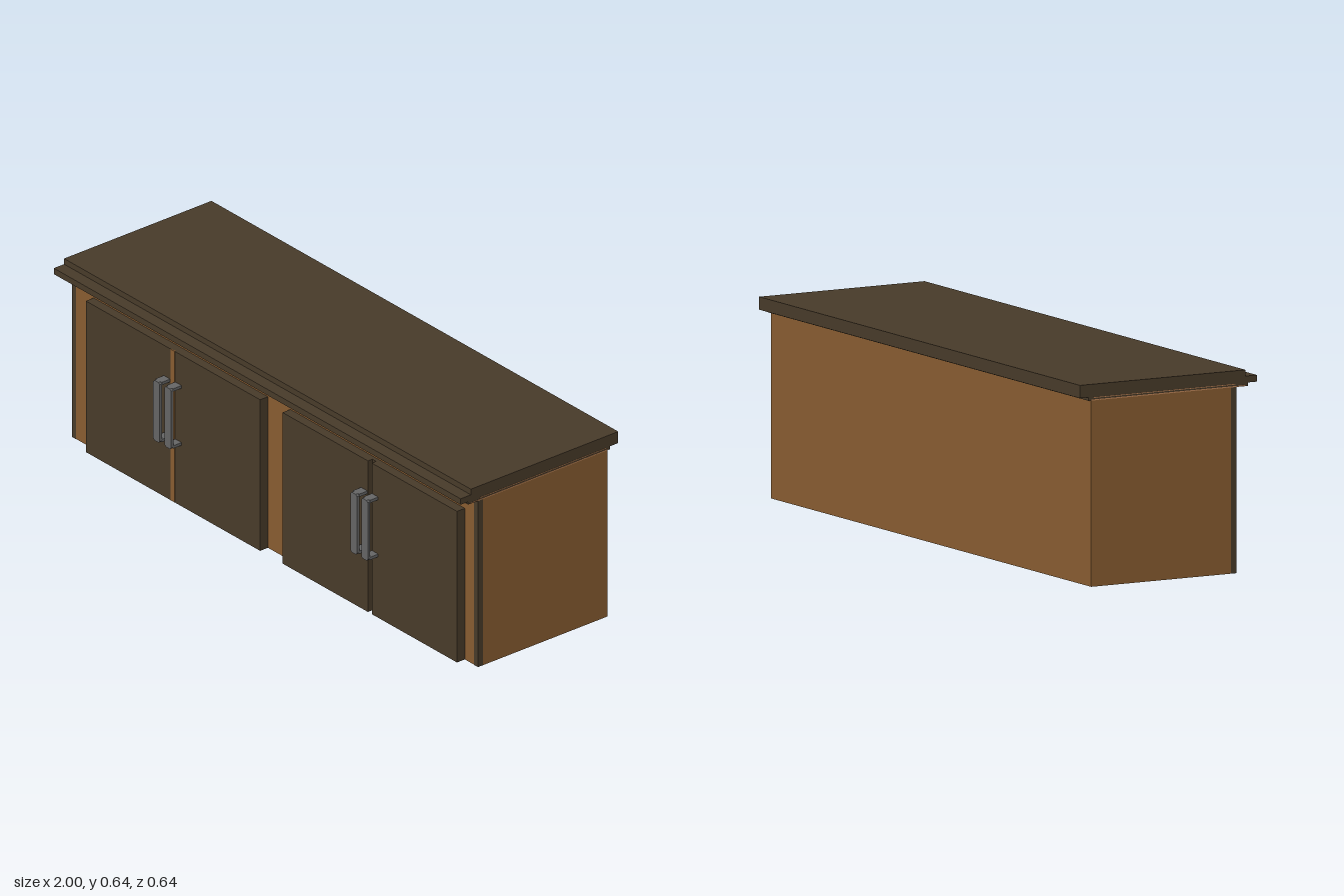
import * as THREE from 'three';

const mat = (name, color) => {
  const m = new THREE.MeshStandardMaterial({ color });
  m.name = name;
  return m;
};

export function createModel() {
  const model = new THREE.Group();
  model.name = 'sideboard';
  const wood = mat('warm brown wood', 0x865b30);
  const dark = mat('dark brown wood', 0x473a29);
  const light = mat('light orange wood', 0xbc8457);
  const metal = mat('grey metal', 0x646464);

  // Box given by its min and max along each axis
  const box = (name, material, [x0, x1], [y0, y1], [z0, z1], parent = model) => {
    const mesh = new THREE.Mesh(new THREE.BoxGeometry(x1 - x0, y1 - y0, z1 - z0), material);
    mesh.position.set((x0 + x1) / 2, (y0 + y1) / 2, (z0 + z1) / 2);
    mesh.name = name;
    parent.add(mesh);
    return mesh;
  };

  // Cabinet body and front frame, with the light wood on the bottom faces
  const bodyMaterials = [wood, wood, wood, light, wood, wood];
  box('cabinetBody', bodyMaterials, [-0.998, 0.998], [0, 0.598], [-0.28, 0.228]);
  box('frontFrame', bodyMaterials, [-0.979, 0.979], [0, 0.598], [0.228, 0.248]);

  // Dark corner strips and thin light edges under the worktop ends
  for (const s of [-1, 1]) {
    const side = s < 0 ? 'right' : 'left';
    const span = (a, b) => [Math.min(s * a, s * b), Math.max(s * a, s * b)];
    box(side + 'CornerStrip', dark, span(0.979, 0.998), [0, 0.598], [0.228, 0.249]);
    box(side + 'LowerEdge', light, span(0.995, 1), [0.593, 0.5965], [-0.28, 0.28]);
    box(side + 'UpperEdge', light, span(0.995, 1), [0.601, 0.603], [-0.273, 0.243]);
  }

  // Worktop, stepped front lip and the moulding under it
  box('worktop', dark, [-1, 1], [0.604, 0.645], [-0.322, 0.28]);
  box('worktopLip', dark, [-1, 1], [0.604, 0.625], [0.28, 0.322]);
  box('underMoulding', dark, [-0.999, 0.999], [0.593, 0.604], [-0.29, 0.29]);

  // Bracket handle: two posts and a grip with clipped corners
  const gripShape = new THREE.Shape();
  const w = 0.016, h = 0.107, c = 0.006;
  [[-w, -h + c], [-w + c, -h], [w - c, -h], [w, -h + c], [w, h - c], [w - c, h], [-w + c, h], [-w, h - c]]
    .forEach(([x, y], i) => (i ? gripShape.lineTo(x, y) : gripShape.moveTo(x, y)));
  const gripGeometry = new THREE.ExtrudeGeometry(gripShape, { depth: 0.01, bevelEnabled: false });
  const addHandle = (x) => {
    const handle = new THREE.Group();
    handle.name = 'handle';
    const grip = new THREE.Mesh(gripGeometry, metal);
    grip.name = 'handleGrip';
    grip.position.set(x, 0.323, 0.313);
    handle.add(grip);
    for (const y of [0.217, 0.42]) {
      box('handlePost', metal, [x - 0.0155, x + 0.0155], [y, y + 0.01], [0.279, 0.314], handle);
    }
    model.add(handle);
  };

  // Two pairs of doors
  const doors = [
    [-0.893, -0.479, -0.494], [-0.452, -0.036, -0.438],
    [0.074, 0.494, 0.476], [0.513, 0.932, 0.529],
  ];
  for (const [x0, x1, handleX] of doors) {
    box('door', dark, [x0, x1], [0, 0.538], [0.247, 0.28]);
    addHandle(handleX);
  }

  // Filled gap with a wood stripe on one pair, recessed dark cover on the other
  box('doorGapFill', dark, [-0.48, -0.451], [0, 0.538], [0.247, 0.2795]);
  box('doorGapStripe', wood, [-0.475, -0.456], [0, 0.538], [0.276, 0.2805]);
  box('doorGapCover', dark, [0.49, 0.517], [0, 0.538], [0.247, 0.262]);

  return model;
}
